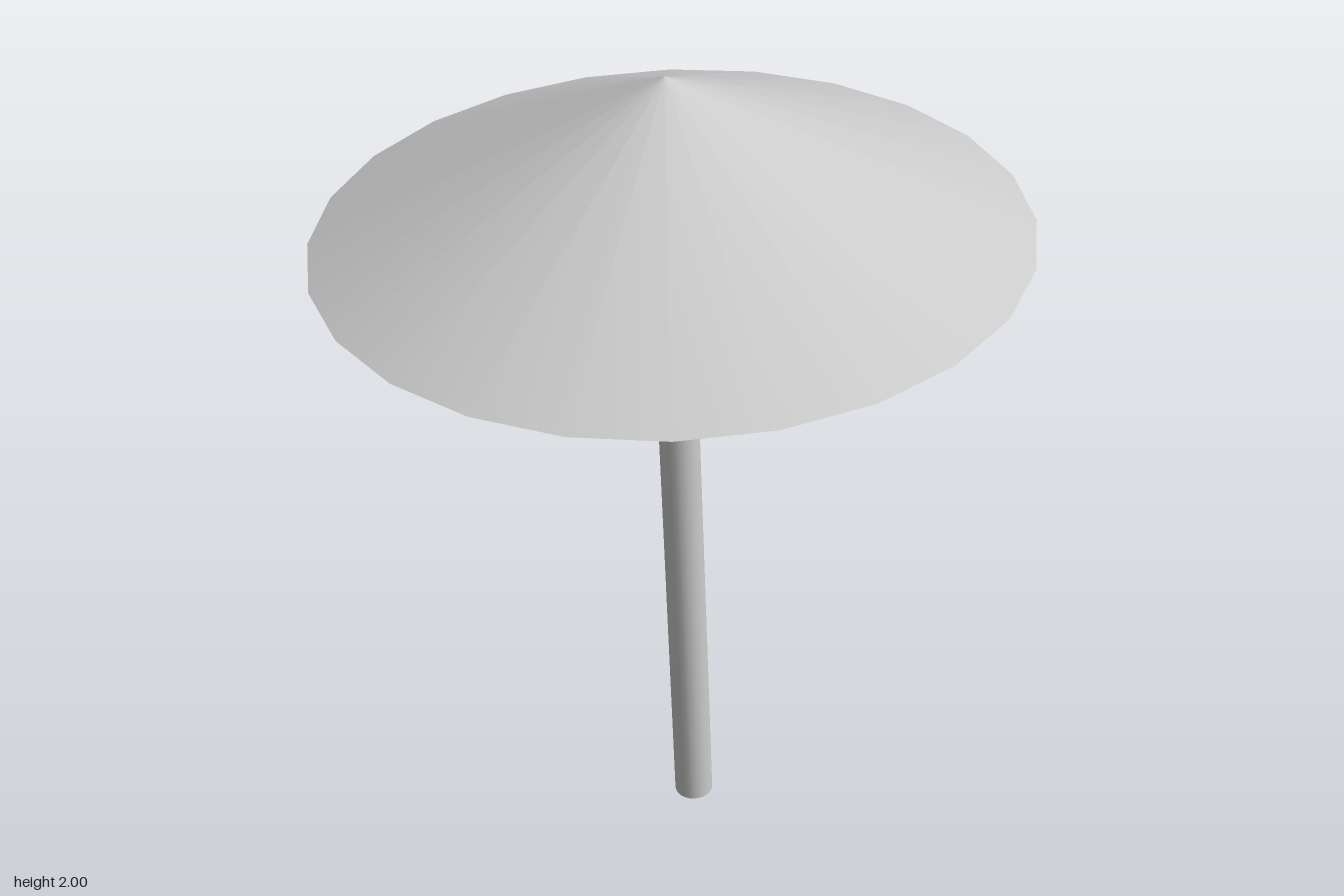
import * as THREE from 'three';

export function createModel() {
  const group = new THREE.Group();
  const material = new THREE.MeshStandardMaterial({ color: 0xcccccc });

  // Everything leans together about the centre of the canopy's underside
  const parasol = new THREE.Group();
  parasol.name = 'parasol';
  parasol.position.y = 1.632;
  parasol.rotation.z = 0.051;
  group.add(parasol);

  // Canopy: wide shallow cone with a closed flat underside
  const canopyHeight = 0.369;
  const canopy = new THREE.Mesh(new THREE.ConeGeometry(0.787, canopyHeight, 24, 1), material);
  canopy.name = 'canopy';
  canopy.position.y = canopyHeight / 2;
  parasol.add(canopy);

  // Pole: straight shaft with a small flare under the canopy
  const profile = [
    [0.047, -1.63], [0.047, -0.06], [0.048, -0.035], [0.05, -0.015], [0.053, 0],
  ].map(([r, y]) => new THREE.Vector2(r, y));
  const pole = new THREE.Mesh(new THREE.LatheGeometry(profile, 24), material);
  pole.name = 'pole';
  parasol.add(pole);

  // Flat end of the pole
  const foot = new THREE.Mesh(new THREE.CircleGeometry(0.047, 24), material);
  foot.name = 'poleFoot';
  foot.rotation.x = Math.PI / 2;
  foot.position.y = -1.63;
  parasol.add(foot);

  return group;
}
